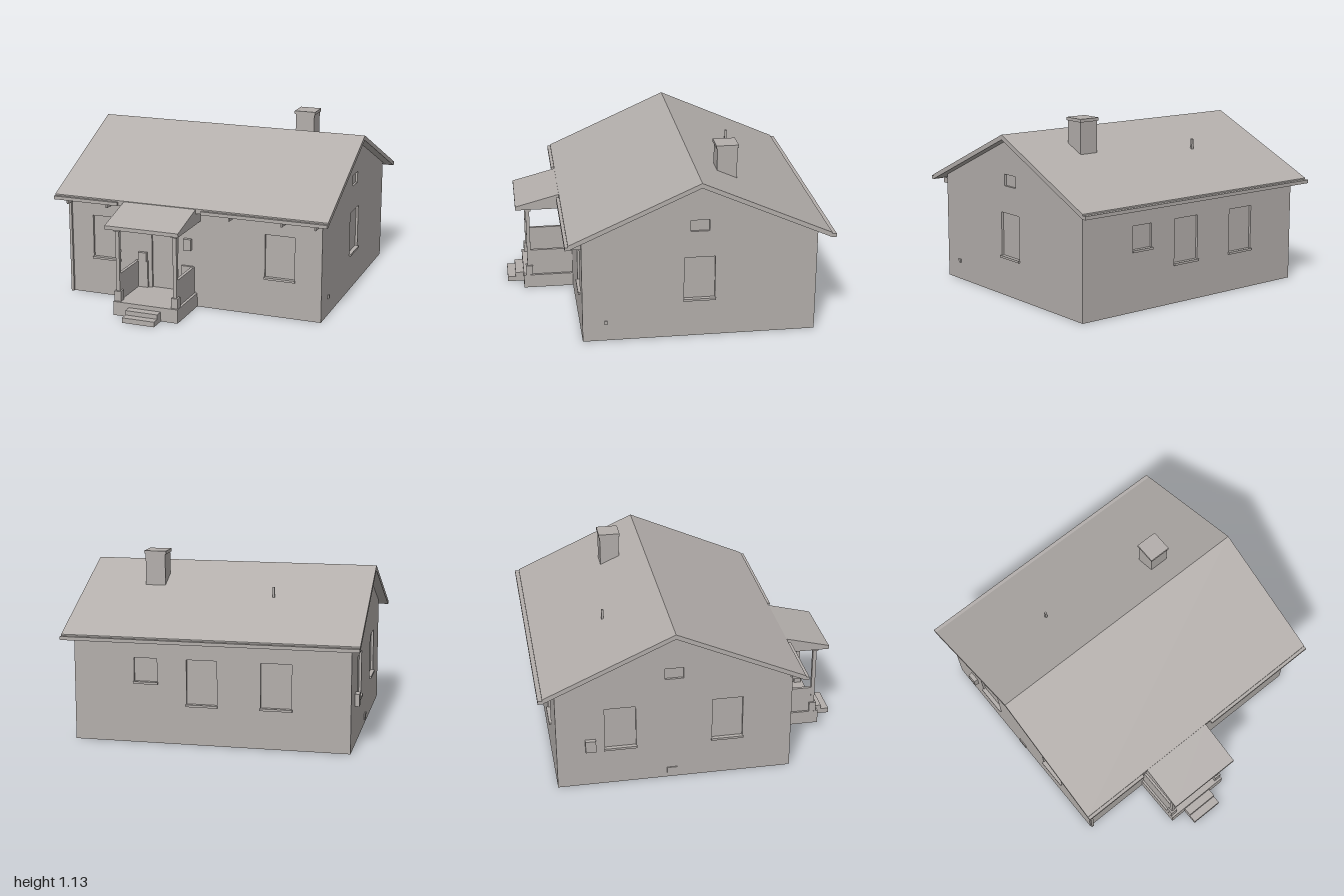
import * as THREE from 'three';

const plaster = new THREE.MeshStandardMaterial({ color: 0xb3aeab, side: THREE.DoubleSide });
plaster.name = 'warm grey';

const W = 0.86, FRONT = 0.565, BACK = -0.898;      // house walls
const RIDGE_Z = -0.163, RIDGE_Y = 1.037, HALF = 0.81, SLOPE = 0.446, SLAB = 0.031;
const T = 0.016;                                   // wall thickness
const under = z => RIDGE_Y - SLAB - Math.abs(z - RIDGE_Z) * SLOPE;

function mesh(parent, name, geometry) {
  const m = new THREE.Mesh(geometry, plaster);
  m.name = name;
  parent.add(m);
  return m;
}

// Box given by its limits on each axis
function box(parent, name, [x0, x1], [y0, y1], [z0, z1]) {
  const m = mesh(parent, name, new THREE.BoxGeometry(x1 - x0, y1 - y0, z1 - z0));
  m.position.set((x0 + x1) / 2, (y0 + y1) / 2, (z0 + z1) / 2);
  return m;
}

// Profile of [z, y] points extruded along x
function extrudeX(parent, name, points, x0, x1) {
  const shape = new THREE.Shape(points.map(([z, y]) => new THREE.Vector2(-z, y)));
  const g = new THREE.ExtrudeGeometry(shape, { depth: x1 - x0, bevelEnabled: false });
  g.rotateY(Math.PI / 2);
  g.translate(x0, 0, 0);
  return mesh(parent, name, g);
}

// Wall in its own plane, outer face at local z = 0, with recessed openings
function wall(parent, name, outline, openings) {
  const g = new THREE.Group();
  g.name = name;
  const shape = new THREE.Shape(outline.map(p => new THREE.Vector2(...p)));
  for (const { u: [a, b], y: [c, d], kind } of openings) {
    shape.holes.push(new THREE.Path([[a, c], [a, d], [b, d], [b, c]].map(p => new THREE.Vector2(...p))));
    const pane = mesh(g, kind, new THREE.PlaneGeometry(b - a, d - c));
    pane.position.set((a + b) / 2, (c + d) / 2, -T + 0.001);
    if (kind === 'window') box(g, 'windowSill', [a - 0.005, b + 0.005], [c - 0.012, c + 0.002], [-T, 0.012]);
  }
  const geo = new THREE.ExtrudeGeometry(shape, { depth: T, bevelEnabled: false });
  geo.translate(0, 0, -T);
  mesh(g, name + 'Surface', geo);
  parent.add(g);
  return g;
}

const win = (a, b, c = 0.253, d = 0.533) => ({ u: [a, b], y: [c, d], kind: 'window' });
const gableVent = (a, b) => ({ u: [a, b], y: [0.705, 0.778], kind: 'gableVent' });

function buildWalls(house) {
  const rect = top => [[-W, 0], [W, 0], [W, top], [-W, top]];
  const front = wall(house, 'frontWall', rect(under(FRONT)), [
    win(-0.69, -0.498), win(0.49, 0.684),
    { u: [-0.277, -0.095], y: [0.09, 0.48], kind: 'door' },
  ]);
  front.position.z = FRONT;

  const back = wall(house, 'backWall', rect(under(BACK)), [
    win(-0.15, 0.04), win(0.31, 0.5), win(-0.48, -0.335, 0.383, 0.533),
  ]);
  back.position.z = BACK;
  back.rotation.y = Math.PI;

  const gable = s => [[s * FRONT, 0], [s * BACK, 0], [s * BACK, under(BACK)],
    [s * RIDGE_Z, under(RIDGE_Z)], [s * FRONT, under(FRONT)]];
  const left = wall(house, 'leftGable', gable(-1), [win(0.067, 0.26), gableVent(0.105, 0.222)]);
  left.position.x = W;
  left.rotation.y = Math.PI / 2;
  box(left, 'outdoorTap', [-0.43, -0.41], [0.113, 0.135], [0, 0.01]);

  const right = wall(house, 'rightGable', gable(1),
    [win(-0.597, -0.403), win(0.075, 0.268), gableVent(-0.222, -0.105)]);
  right.position.x = -W;
  right.rotation.y = -Math.PI / 2;
  box(right, 'meterBox', [-0.72, -0.655], [0.25, 0.328], [0, 0.028]);
  box(right, 'lowVent', [-0.21, -0.145], [0.03, 0.07], [0, 0.007]);
}

function buildRoof(house) {
  const drop = HALF * SLOPE;
  const f = RIDGE_Z + HALF, b = RIDGE_Z - HALF, eave = RIDGE_Y - drop;
  extrudeX(house, 'roof', [
    [f, eave], [RIDGE_Z, RIDGE_Y], [b, eave],
    [b, eave - SLAB], [RIDGE_Z, RIDGE_Y - SLAB], [f, eave - SLAB],
  ], -0.917, 0.917);

  // Gutters, interrupted by the porch at the front
  for (const span of [[-0.917, -0.47], [0.1, 0.917]]) box(house, 'frontGutter', span, [0.645, 0.667], [f - 0.005, 0.667]);
  box(house, 'backGutter', [-0.917, 0.917], [0.645, 0.667], [-1, b + 0.005]);

  // Eave brackets and downpipe
  for (const x of [-0.835, -0.557, 0.277, 0.62, 0.835])
    box(house, 'eaveBracket', [x - 0.005, x + 0.005], [0.615, 0.65], [FRONT, 0.64]);
  box(house, 'downpipe', [-0.856, -0.838], [0, 0.64], [FRONT, 0.58]);

  // Chimney and vent pipe
  box(house, 'chimney', [0.397, 0.525], [0.87, 1.112], [-0.447, -0.32]);
  box(house, 'chimneyCap', [0.39, 0.532], [1.11, 1.13], [-0.454, -0.313]);
  box(house, 'ventPipe', [-0.327, -0.313], [0.85, 0.937], [-0.535, -0.521]);
}

function buildPorch(house) {
  const porch = new THREE.Group();
  porch.name = 'porch';
  house.add(porch);
  box(porch, 'porchFloor', [-0.402, 0.035], [0, 0.09], [FRONT, 0.893]);
  box(porch, 'upperStep', [-0.294, -0.078], [0, 0.062], [0.893, 0.947]);
  box(porch, 'lowerStep', [-0.294, -0.078], [0, 0.033], [0.947, 1]);
  extrudeX(porch, 'porchRoof',
    [[0.935, 0.573], [0.935, 0.597], [0.647, 0.672], [0.5, 0.7], [0.5, 0.573]], -0.43, 0.06);

  // Posts, side panels and their returns against the house wall
  const mid = -0.185;
  for (const s of [-1, 1]) {
    const c = mid + s * 0.193;
    const around = r => [c - r, c + r];
    box(porch, 'post', around(0.012), [0.09, 0.573], [0.843, 0.867]);
    box(porch, 'postBase', around(0.023), [0.09, 0.155], [0.832, 0.878]);
    box(porch, 'postCap', around(0.021), [0.547, 0.573], [0.834, 0.876]);
    box(porch, 'sidePanel', around(0.01), [0.09, 0.265], [FRONT, 0.843]);
    const ends = [c, c - s * 0.075].sort((a, b) => a - b);
    box(porch, 'panelReturn', ends, [0.09, 0.268], [FRONT, 0.58]);
  }

  // Boxes hung beside the door
  box(porch, 'letterBox', [-0.365, -0.31], [0.265, 0.325], [FRONT, 0.587]);
  box(porch, 'wallLamp', [-0.05, 0], [0.375, 0.45], [FRONT, 0.59]);
}

export function createModel() {
  const house = new THREE.Group();
  house.name = 'house';
  buildWalls(house);
  buildRoof(house);
  buildPorch(house);
  return house;
}
